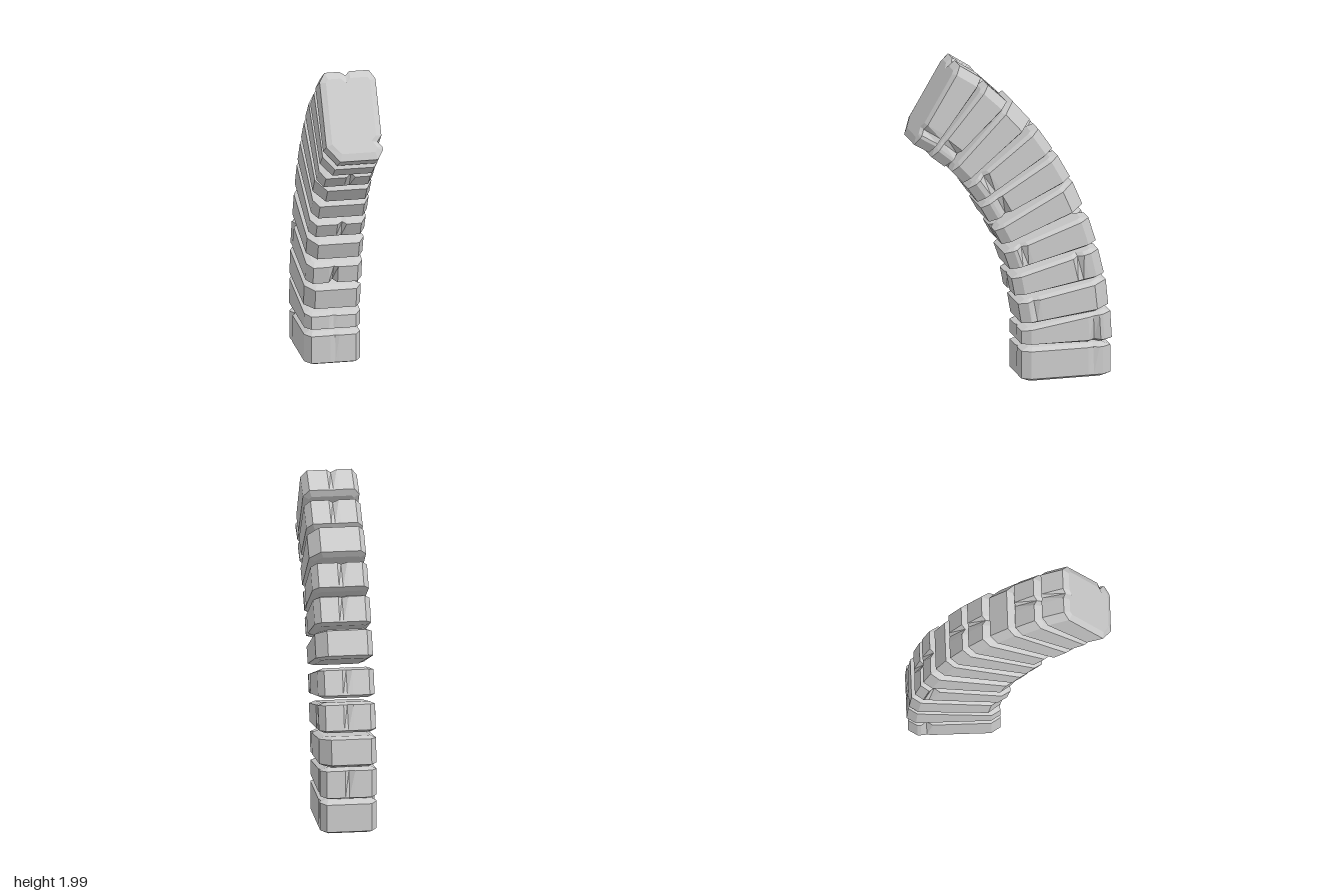
import * as THREE from 'three';

const HALF = 0.17;    // half width of the column of stones
const CUT_X = 0.035;  // corner chamfer across the width
const CUT_D = 0.055;  // corner chamfer along the depth

// Each stone's side outline: front bottom, front top, back top, back bottom as (z, y).
const OUTLINES = [
  [-0.05, 0.02, -0.05, 0.19, -0.60, 0.19, -0.60, 0.02],
  [-0.05, 0.235, -0.05, 0.315, -0.60, 0.40, -0.61, 0.235],
  [-0.05, 0.365, -0.03, 0.485, -0.58, 0.59, -0.595, 0.435],
  [-0.01, 0.54, 0.01, 0.645, -0.525, 0.79, -0.56, 0.64],
  [0.02, 0.705, 0.055, 0.805, -0.465, 0.99, -0.51, 0.845],
  [0.07, 0.865, 0.115, 0.95, -0.375, 1.21, -0.435, 1.07],
  [0.15, 1.01, 0.20, 1.10, -0.275, 1.39, -0.35, 1.255],
  [0.22, 1.14, 0.28, 1.225, -0.155, 1.565, -0.24, 1.44],
  [0.31, 1.265, 0.38, 1.34, -0.005, 1.74, -0.11, 1.62],
  [0.425, 1.375, 0.505, 1.44, 0.155, 1.86, 0.04, 1.75],
  [0.52, 1.47, 0.612, 1.525, 0.33, 1.995, 0.20, 1.91],
];

// Chips. front/back: [x, depth]; left/right: [position along depth 0..1, depth];
// frontCorner/backCorner: extra chamfer; a negative depth is deepest at the bottom.
const CHIPS = [
  { front: [0.01, 0.012], left: [0.8, 0.015], right: [0.8, 0.03] },
  { back: [0.0, 0.03], left: [0.8, -0.035], front: [0, 0.015] },
  { left: [0.17, 0.03], backCorner: 0.03, frontCorner: 0.02 },
  { front: [-0.01, -0.05], left: [0.76, 0.04], back: [0, 0.03], right: [0.85, 0.03] },
  { left: [0.2, 0.04], back: [0.0, 0.03], frontCorner: 0.02 },
  { front: [0.02, 0.03], backCorner: 0.03 },
  { left: [0.2, -0.04], back: [0.0, 0.03] },
  { left: [0.22, 0.04], back: [-0.01, 0.035], frontCorner: 0.03 },
  { front: [0.02, 0.03], backCorner: 0.03 },
  { left: [0.2, -0.04], back: [0.0, 0.035], frontCorner: 0.03 },
  { left: [0.2, 0.035], back: [-0.01, 0.03], frontCorner: 0.04 },
];

// Four rings per stone: bottom face, lower edge, upper edge, top face.
const RINGS = [
  { v: -0.11, inset: 1, w: 0 },
  { v: 0, inset: 0, w: 0.1 },
  { v: 1, inset: 0, w: 0.8 },
  { v: 1.11, inset: 1, w: 1 },
];

// Plan of one ring as (x, depth from front), running counter-clockwise from above.
function plan(len, chips, ring) {
  const ix = ring.inset * CUT_X, id = ring.inset * 0.045;
  const hx = HALF - ix, d0 = id, d1 = len - id;
  const cx = CUT_X * (1 - ring.inset * 0.6), cd = CUT_D * (1 - ring.inset * 0.6);
  const fc = chips.frontCorner || 0, bc = chips.backCorner || 0;
  const deep = ([, d]) => Math.abs(d) * (d < 0 ? 1 - ring.w : ring.w);
  const pts = [[-hx + cx + fc, d0]];
  const f = chips.front || [0, 0], b = chips.back || [0, 0];
  const l = chips.left || [0.5, 0], r = chips.right || [0.5, 0];
  pts.push([f[0] - 0.03, d0], [f[0], d0 + deep(f)], [f[0] + 0.025, d0], [hx - cx, d0]);
  pts.push([hx, d0 + cd]);
  pts.push([hx, l[0] * len - 0.035], [hx - deep(l), l[0] * len], [hx, l[0] * len + 0.035]);
  pts.push([hx, d1 - cd - bc], [hx - cx - bc, d1]);
  pts.push([b[0] + 0.025, d1], [b[0], d1 - deep(b)], [b[0] - 0.035, d1], [-hx + cx, d1]);
  pts.push([-hx, d1 - cd]);
  pts.push([-hx, r[0] * len + 0.035], [-hx + deep(r), r[0] * len], [-hx, r[0] * len - 0.035]);
  pts.push([-hx, d0 + cd + fc]);
  return pts;
}

function stoneGeometry(outline, chips) {
  const corner = (i) => new THREE.Vector3(0, outline[2 * i + 1], outline[2 * i]);
  const [fb, ft, bt, bb] = [0, 1, 2, 3].map(corner);
  const len = (fb.distanceTo(bb) + ft.distanceTo(bt)) / 2;
  const place = (x, d, v) => {
    const low = fb.clone().lerp(bb, d / len), high = ft.clone().lerp(bt, d / len);
    return low.lerp(high, v).setX(x);
  };
  const rings = RINGS.map((ring) =>
    plan(len, chips, ring).map(([x, d]) => place(x, d, ring.v)));
  const pos = [];
  const tri = (...p) => p.forEach((q) => pos.push(q.x, q.y, q.z));
  const n = rings[0].length;
  const bottom = place(0, len / 2, RINGS[0].v), top = place(0, len / 2, RINGS[3].v);
  for (let i = 0; i < n; i++) {
    const j = (i + 1) % n;
    for (let k = 0; k < 3; k++) {
      const lo = rings[k], hi = rings[k + 1];
      tri(lo[i], lo[j], hi[j]);
      tri(lo[i], hi[j], hi[i]);
    }
    tri(bottom, rings[0][j], rings[0][i]);
    tri(top, rings[3][i], rings[3][j]);
  }
  const geo = new THREE.BufferGeometry();
  geo.setAttribute('position', new THREE.Float32BufferAttribute(pos, 3));
  geo.computeVertexNormals();
  return geo;
}

export function createModel() {
  const group = new THREE.Group();
  group.name = 'stoneArch';
  const stone = new THREE.MeshStandardMaterial({ color: 0xcccccc, flatShading: true });
  // Wedge stones stacked along the curve, from the ground up
  OUTLINES.forEach((outline, i) => {
    const mesh = new THREE.Mesh(stoneGeometry(outline, CHIPS[i]), stone);
    mesh.name = `archStone${i + 1}`;
    group.add(mesh);
  });
  return group;
}
